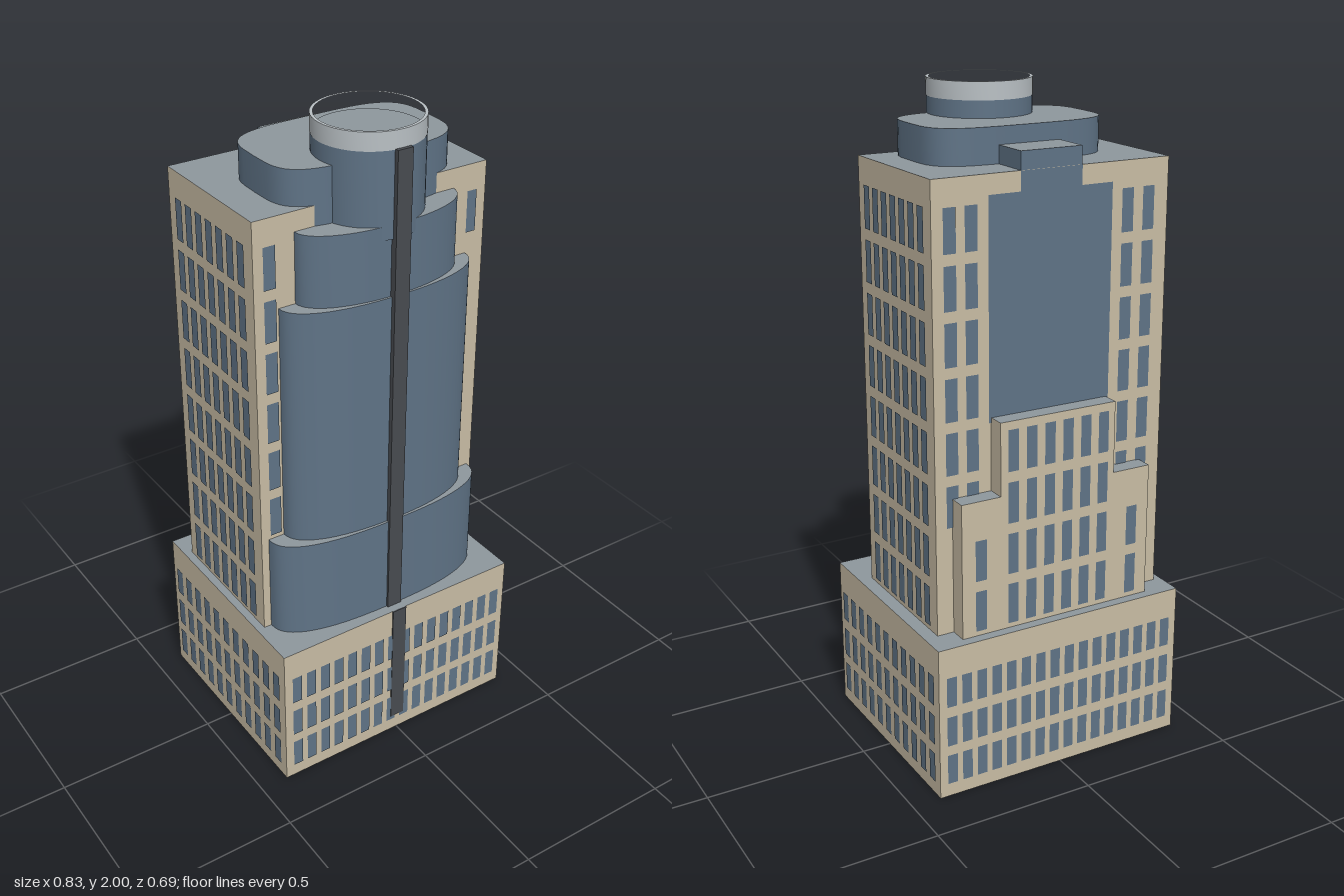
import * as THREE from 'three';
import { mergeGeometries, toCreasedNormals } from 'three/addons/utils/BufferGeometryUtils.js';

const mat = (name, color, side = THREE.FrontSide) => {
  const m = new THREE.MeshStandardMaterial({ color, side });
  m.name = name;
  return m;
};

export function createModel() {
  const stone = mat('stone', 0xc8bca4, THREE.DoubleSide);
  const roof = mat('roof', 0x8e979d, THREE.DoubleSide);
  const glass = mat('glass', 0x5f7386);
  const dark = mat('darkMetal', 0x484b50);
  const pale = mat('paleMetal', 0xb9c0c4);
  const model = new THREE.Group();

  const add = (name, geometry, material) => {
    const mesh = new THREE.Mesh(geometry, material);
    mesh.name = name;
    model.add(mesh);
    return mesh;
  };

  // Box given by its limits, with a separate colour on top
  const block = (name, [x0, x1], [y0, y1], [z0, z1], wall, top = wall) => {
    const g = new THREE.BoxGeometry(x1 - x0, y1 - y0, z1 - z0);
    g.translate((x0 + x1) / 2, (y0 + y1) / 2, (z0 + z1) / 2);
    return add(name, g, [wall, wall, top, wall, wall, wall]);
  };

  // Upright prism from a plan outline of [x, z] points
  const prism = (name, plan, y0, y1, wall, top, hole) => {
    const shape = new THREE.Shape(plan.map(([x, z]) => new THREE.Vector2(x, -z)));
    if (hole) shape.holes.push(new THREE.Path(hole.map(([x, z]) => new THREE.Vector2(x, -z))));
    let g = new THREE.ExtrudeGeometry(shape, { depth: y1 - y0, bevelEnabled: false, steps: 1 });
    g.rotateX(-Math.PI / 2).translate(0, y0, 0);
    g = toCreasedNormals(g, 0.6);
    return add(name, g, [top, wall]);
  };

  // Superellipse plan, swept from angle a0 to a1
  const oval = (cx, cz, rx, rz, n, a0, a1, steps) => {
    const pts = [];
    for (let i = 0; i <= steps; i++) {
      const a = a0 + (a1 - a0) * i / steps, c = Math.cos(a), s = Math.sin(a);
      pts.push([cx + rx * Math.sign(c) * Math.abs(c) ** (2 / n), cz + rz * Math.sign(s) * Math.abs(s) ** (2 / n)]);
    }
    return pts;
  };
  const loop = (...args) => oval(...args, 0, Math.PI * 2, 48).slice(0, -1);

  // Grid of window panes on one wall; u runs along the wall, "at" is the wall plane
  const windows = (name, side, at, us, ys, w, h) => {
    const off = 0.003, panes = [];
    for (const u of us) for (const y of ys) {
      const p = new THREE.PlaneGeometry(w, h);
      if (side === 'front') p.translate(u, y, at + off);
      if (side === 'back') p.rotateY(Math.PI).translate(u, y, at - off);
      if (side === 'left') p.rotateY(Math.PI / 2).translate(at + off, y, u);
      if (side === 'right') p.rotateY(-Math.PI / 2).translate(at - off, y, u);
      panes.push(p);
    }
    add(name, mergeGeometries(panes), glass);
  };
  const series = (first, last, count) =>
    Array.from({ length: count }, (_, i) => first + (last - first) * i / (count - 1));

  // Podium, open underneath
  const podium = block('podium', [-0.412, 0.41], [0, 0.48], [-0.343, 0.341], stone, roof);
  const index = Array.from(podium.geometry.index.array);
  index.splice(18, 6);
  podium.geometry.setIndex(index);
  podium.geometry.clearGroups();
  [[0, 12, 0], [12, 6, 2], [18, 12, 0]].forEach(g => podium.geometry.addGroup(...g));
  const podiumRows = [0.09, 0.215, 0.342];
  windows('podiumFrontWindows', 'front', 0.341, series(-0.37, 0.37, 16), podiumRows, 0.032, 0.094);
  windows('podiumBackWindows', 'back', -0.343, series(-0.37, 0.37, 16), podiumRows, 0.032, 0.094);
  windows('podiumLeftWindows', 'left', 0.41, series(0.297, -0.299, 11), podiumRows, 0.035, 0.094);
  windows('podiumRightWindows', 'right', -0.412, series(0.297, -0.299, 11), podiumRows, 0.035, 0.094);

  // Main tower
  block('tower', [-0.387, 0.368], [0.48, 1.796], [-0.257, 0.19], stone, roof);
  const rows = series(0.558, 1.656, 8);
  windows('towerLeftWindows', 'left', 0.368, series(0.133, -0.2, 7), rows, 0.035, 0.125);
  windows('towerRightWindows', 'right', -0.387, series(0.133, -0.2, 7), rows, 0.035, 0.125);
  windows('towerFrontWindows', 'front', 0.19, [-0.339], rows.slice(2), 0.037, 0.125);
  windows('towerFrontTopWindow', 'front', 0.19, [0.32], rows.slice(7), 0.032, 0.125);
  windows('towerBackWindows', 'back', -0.257, [-0.32, -0.25, 0.25, 0.315], rows.slice(2), 0.038, 0.125);
  windows('backGlassPanel', 'back', -0.257, [0], [1.42], 0.395, 0.64);
  windows('backGlassPanelTop', 'back', -0.257, [0], [1.768], 0.195, 0.056);

  // Bowed glass tiers stepping back up the front
  const tiers = [
    ['lowerTier', -0.004, 0.359, 0.119, 2.5, 0.48, 0.795],
    ['middleTier', -0.003, 0.309, 0.112, 2.25, 0.795, 1.53],
    ['upperTier', -0.002, 0.258, 0.106, 2.1, 1.53, 1.738],
  ];
  for (const [name, cx, rx, rz, n, y0, y1] of tiers)
    prism(name, oval(cx, 0.19, rx, rz, n, 0, Math.PI, 32), y0, y1, glass, roof);

  // Rounded crown and drum with a raised open rim
  prism('crown', loop(0, 0.032, 0.281, 0.171, 3.8), 1.7, 1.898, glass, roof);
  prism('drum', loop(-0.002, 0.15, 0.154, 0.154, 2), 1.7, 1.95, glass, roof);
  prism('drumRim', loop(-0.002, 0.15, 0.155, 0.155, 2), 1.948, 2, pale, pale,
    loop(-0.002, 0.15, 0.146, 0.146, 2));

  // Dark fin up the centre of the front
  block('upperFin', [-0.025, 0.023], [0.48, 1.95], [0.29, 0.316], dark);
  block('lowerFin', [-0.025, 0.023], [0.055, 0.48], [0.335, 0.345], dark);

  // Rooftop plant room
  block('plantRoom', [-0.098, 0.096], [1.796, 1.848], [-0.257, -0.13], glass, roof);

  // Stepped rear annex
  block('annexCentre', [-0.19, 0.19], [0.48, 1.115], [-0.312, -0.257], stone, roof);
  windows('annexCentreWindows', 'back', -0.312, series(-0.15, 0.15, 6), rows.slice(0, 4), 0.034, 0.125);
  for (const s of [-1, 1]) {
    const span = [s * 0.19, s * 0.315].sort((a, b) => a - b);
    block('annexWing', span, [0.48, 0.895], [-0.312, -0.257], stone, roof);
    windows('annexWingWindows', 'back', -0.312, [s * 0.255], rows.slice(0, 2), 0.036, 0.125);
  }
  return model;
}
